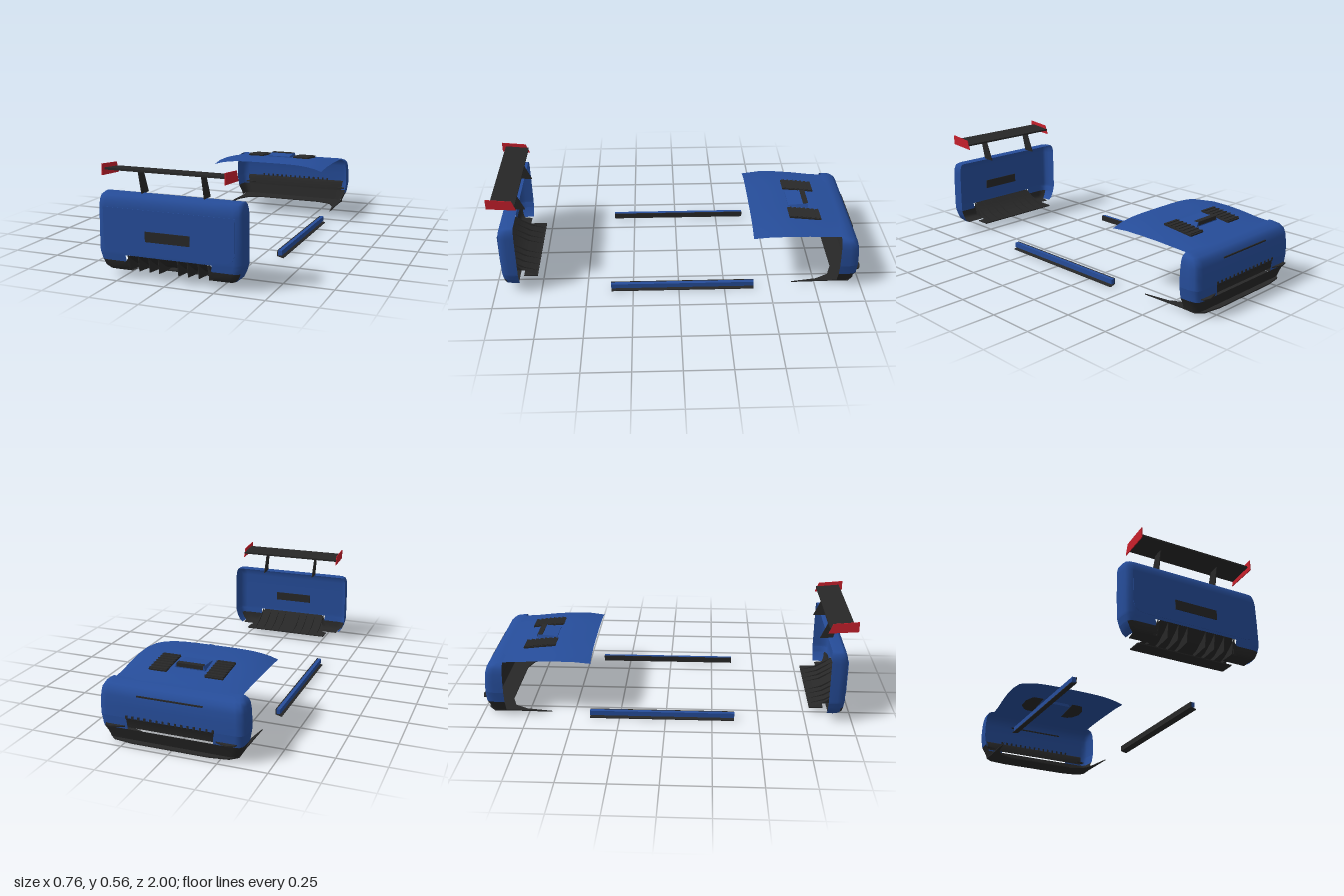
import * as THREE from 'three';

const mat = (name, color) => {
  const m = new THREE.MeshStandardMaterial({ color, side: THREE.DoubleSide });
  m.name = name;
  return m;
};

export function createModel() {
  const blue = mat('blue paint', 0x264d9a);
  const black = mat('black plastic', 0x272727);
  const red = mat('red paint', 0xc8202c);
  const root = new THREE.Group();

  const add = (name, geo, material, x = 0, y = 0, z = 0, parent = root) => {
    const m = new THREE.Mesh(geo, material);
    m.name = name;
    m.position.set(x, y, z);
    parent.add(m);
    return m;
  };
  const box = (name, material, w, h, d, x, y, z) =>
    add(name, new THREE.BoxGeometry(w, h, d), material, x, y, z);

  // Surface through rows of points
  const loft = (name, material, rows) => {
    const n = rows[0].length, index = [];
    for (let i = 0; i < rows.length - 1; i++)
      for (let j = 0; j < n - 1; j++) {
        const a = i * n + j;
        index.push(a, a + n, a + 1, a + 1, a + n, a + n + 1);
      }
    const g = new THREE.BufferGeometry();
    g.setAttribute('position', new THREE.Float32BufferAttribute(rows.flat(2), 3));
    g.setIndex(index);
    g.computeVertexNormals();
    return add(name, g, material);
  };

  // Side-view outline of [z, y] points, given a thickness across x
  const sidePlate = (name, material, pts, thick, x) => {
    const s = new THREE.Shape(pts.map(([z, y]) => new THREE.Vector2(-z, y)));
    const g = new THREE.ExtrudeGeometry(s, { depth: thick, bevelEnabled: false });
    g.translate(0, 0, -thick / 2).rotateY(Math.PI / 2);
    return add(name, g, material, x);
  };
  // Plan outline of [x, z] points, given a thickness downwards
  const planPlate = (name, material, pts, thick, y) => {
    const s = new THREE.Shape(pts.map(p => new THREE.Vector2(...p)));
    const g = new THREE.ExtrudeGeometry(s, { depth: thick, bevelEnabled: false });
    return add(name, g.rotateX(Math.PI / 2), material, 0, y);
  };

  // Bumper skin: plan curve [width share, depth share] swept through rows [y, halfWidth, faceZ]
  const half = [[1, 0], [1, 0.5], [0.985, 0.8], [0.95, 0.95], [0.88, 1], [0.6, 1], [0.3, 1]];
  const plan = [...half.map(([s, t]) => [-s, t]), [0, 1], ...half.slice().reverse()];
  const skin = (name, material, zBack, rows, from = 0, to = 14) =>
    loft(name, material, rows.map(([y, w, zf]) =>
      plan.slice(from, to + 1).map(([s, t]) => [s * w, y, zBack + (zf - zBack) * t])));

  // Rear bumper
  skin('rearBumper', blue, 0.866, [[0.41, 0.355, 0.868], [0.41, 0.355, 0.925], [0.4, 0.365, 0.943],
    [0.375, 0.372, 0.951], [0.35, 0.373, 0.956], [0.24, 0.375, 0.957], [0.13, 0.375, 0.957], [0.117, 0.373, 0.956]]);
  const low = [[0.117, 0.373, 0.956], [0.085, 0.364, 0.953]];
  const valance = [low[1], [0.055, 0.35, 0.948], [0.038, 0.33, 0.935], [0.034, 0.325, 0.875]];
  for (const [a, b, c, d] of [[0, 5, 2, 5], [9, 14, 9, 12]]) {
    skin('rearBumperCorner', blue, 0.866, low, a, b);
    skin('rearValance', black, 0.866, valance, c, d);
    skin('rearBumperLowerEdge', blue, 0.866, valance.slice(0, 3), c === 2 ? 0 : 12, c === 2 ? 2 : 14);
  }
  box('registrationPanel', black, 0.23, 0.05, 0.0098, 0, 0.22, 0.957);

  // Recess border on the rear face
  const frame = new THREE.Shape();
  const outline = (p, w, top, bottom, r) => {
    p.moveTo(-w, top);
    p.lineTo(-w, bottom + r);
    p.quadraticCurveTo(-w, bottom, -w + r, bottom);
    p.lineTo(w - r, bottom);
    p.quadraticCurveTo(w, bottom, w, bottom + r);
    p.lineTo(w, top);
    p.closePath();
  };
  outline(frame, 0.338, 0.347, 0.132, 0.06);
  add('rearPanel', new THREE.ExtrudeGeometry(frame, { depth: 0.002, bevelEnabled: false }), blue, 0, 0, 0.9565);

  // Diffuser ramp, floor and fins
  loft('diffuserRamp', black, [[0.118, 0.2, 0.957], [0.09, 0.215, 0.925], [0.055, 0.23, 0.87], [0.034, 0.26, 0.78]]
    .map(([y, w, z]) => [-w, -w / 2, 0, w / 2, w].map(x => [x, y, z])));
  box('diffuserFloor', black, 0.52, 0.006, 0.075, 0, 0.033, 0.8175);
  for (const x of [-0.21, -0.155, -0.1, -0.05, 0.05, 0.1, 0.155, 0.21])
    sidePlate('diffuserFin', black,
      [[0.957, 0.118], [0.92, 0.095], [0.86, 0.06], [0.785, 0.036], [0.87, 0.034], [0.945, 0.042]], 0.004, x);
  for (const s of [-1, 1])
    loft('diffuserCheek', black, [[[s * 0.2, 0.118, 0.957], [s * 0.227, 0.08, 0.955]],
      [[s * 0.205, 0.04, 0.94], [s * 0.23, 0.04, 0.94]]]);

  // Rear wing
  const wing = box('wingBlade', black, 0.62, 0.01, 0.13, 0, 0.53, 0.915);
  wing.rotation.x = -0.1;
  for (const s of [-1, 1]) {
    sidePlate('wingEndPlate', red, [[1, 0.563], [0.865, 0.55], [0.845, 0.497], [1, 0.508]], 0.004, s * 0.31);
    sidePlate('wingStrut', black, [[0.925, 0.528], [0.875, 0.523], [0.825, 0.408], [0.893, 0.408]], 0.005, s * 0.162);
  }

  // Side skirts
  for (const s of [-1, 1]) {
    box('sideSkirt', blue, 0.02, 0.026, 0.78, s * 0.353, 0.027, -0.02);
    box('skirtInnerRail', black, 0.005, 0.028, 0.78, s * 0.3405, 0.027, -0.02);
    const lip = box('skirtLip', black, 0.036, 0.004, 0.78, s * 0.355, 0.007, -0.02);
    lip.rotation.z = -s * 0.25;
  }

  // Hood: rows of [z, halfWidth, centre height, edge drop]
  const hood = [[-0.4, 0.345, 0.345, 0.032], [-0.5, 0.349, 0.35, 0.026], [-0.6, 0.347, 0.347, 0.024],
    [-0.7, 0.34, 0.338, 0.02], [-0.8, 0.332, 0.324, 0.015], [-0.87, 0.33, 0.313, 0.008], [-0.9, 0.335, 0.309, 0.004]];
  loft('hood', blue, hood.map(([z, w, y, drop]) =>
    Array.from({ length: 17 }, (_, i) => {
      const u = i / 8 - 1;
      return [u * w, y - drop * u ** 4, z];
    })));
  const hoodY = z => {
    const i = hood.findIndex(r => r[0] <= z);
    const a = hood[i - 1], b = hood[i];
    return a[2] + (b[2] - a[2]) * (z - a[0]) / (b[0] - a[0]);
  };

  // Louvred hood vents
  for (const s of [-1, 1]) {
    const base = box('ventBase', black, 0.095, 0.008, 0.175, s * 0.148, hoodY(-0.6975) + 0.001, -0.6975);
    base.rotation.x = -0.11;
    for (let i = 0; i < 7; i++) {
      const z = -0.77 + i * 0.025;
      const slat = box('ventSlat', black, 0.093, 0.004, 0.024, s * 0.148, hoodY(z) + 0.008, z);
      slat.rotation.x = 0.2;
    }
  }

  // Hood scoop, a wedge opening forwards
  const scoop = new THREE.BoxGeometry(0.17, 0.03, 0.11);
  const sp = scoop.attributes.position;
  for (let i = 0; i < sp.count; i++) {
    if (sp.getY(i) > 0) {
      sp.setX(i, sp.getX(i) * 0.85);
      if (sp.getZ(i) > 0) sp.setY(i, 0.007);
    }
  }
  scoop.computeVertexNormals();
  add('hoodScoop', scoop, blue, 0, 0.343, -0.673);
  box('scoopOpening', black, 0.14, 0.02, 0.028, 0, 0.35, -0.716);

  // Front bumper
  const zb = -0.872;
  skin('frontBumper', blue, zb, [[0.31, 0.335, -0.874], [0.309, 0.342, -0.905], [0.298, 0.36, -0.94],
    [0.28, 0.37, -0.962], [0.25, 0.375, -0.971], [0.2, 0.378, -0.976], [0.145, 0.378, -0.978]]);
  const cheek = [[0.145, 0.378, -0.978], [0.085, 0.368, -0.975]];
  const intake = [[0.145, 0.378, -0.978], [0.135, 0.376, -0.962], [0.085, 0.368, -0.955]];
  const chin = [[0.085, 0.368, -0.975], [0.055, 0.352, -0.965], [0.022, 0.34, -0.955]];
  skin('frontCheek', blue, zb, cheek, 0, 5);
  skin('frontCheek', blue, zb, cheek, 9, 14);
  skin('frontIntake', black, zb, intake, 4, 10);
  skin('frontChin', black, zb, chin);
  box('frontSlot', black, 0.34, 0.007, 0.008, 0, 0.262, -0.968);
  for (let i = 0; i < 15; i++)
    box('intakeTooth', black, 0.01, 0.016, 0.008, (i - 7) * 0.032, 0.15, -0.977);

  // Front splitter with swept-back tips
  const edge = [[0.2, -0.985], [0.3, -0.97], [0.338, -0.935], [0.335, -0.85], [0.34, -0.62],
    [0.318, -0.76], [0.28, -0.83], [0.2, -0.86]];
  planPlate('frontSplitter', black,
    [...edge, ...edge.map(([x, z]) => [-x, z]).reverse()], 0.006, 0.022);

  // Corner canards
  for (const s of [-1, 1])
    planPlate('canard', black, [[0.23, -0.972], [0.25, -0.985], [0.3, -1], [0.335, -0.99], [0.345, -0.95], [0.3, -0.95]]
      .map(([x, z]) => [s * x, z]), 0.006, 0.102);

  return root;
}
